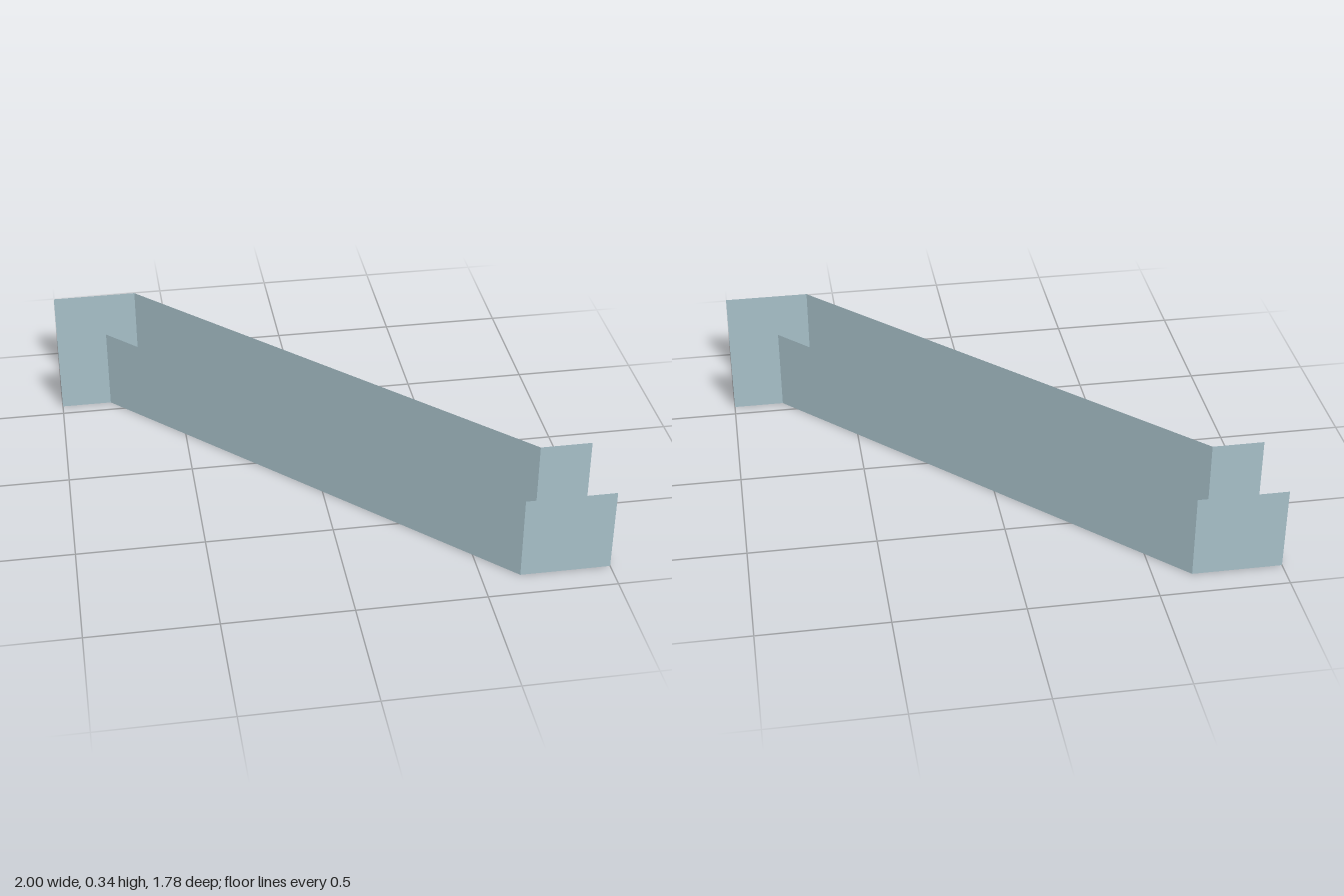
import * as THREE from 'three';

const HEIGHT = 0.34;

// Plan outline (x, z) of each side of the open channel
const frontPath = [[-1, -0.555], [-0.795, -0.555], [0.65, 0.89], [1, 0.89]];
const backPath = frontPath.map(([x, z]) => [-x, -z]).reverse();

// Upright sheet standing along a plan path, one flat panel per segment
function wallGeometry(path) {
  const pos = [];
  for (let i = 0; i < path.length - 1; i++) {
    const [ax, az] = path[i];
    const [bx, bz] = path[i + 1];
    pos.push(ax, 0, az, bx, 0, bz, bx, HEIGHT, bz);
    pos.push(ax, 0, az, bx, HEIGHT, bz, ax, HEIGHT, az);
  }
  const geometry = new THREE.BufferGeometry();
  geometry.setAttribute('position', new THREE.Float32BufferAttribute(pos, 3));
  geometry.computeVertexNormals();
  return geometry;
}

export function createModel() {
  const group = new THREE.Group();
  group.name = 'offsetChannel';

  const metal = new THREE.MeshStandardMaterial({ color: 0xa8c1ca, side: THREE.DoubleSide });
  metal.name = 'pale blue metal';

  const add = (name, geometry) => {
    const mesh = new THREE.Mesh(geometry, metal);
    mesh.name = name;
    group.add(mesh);
  };

  // Floor sheet between the two walls, facing up
  const outline = [...frontPath, ...[...backPath].reverse()];
  const shape = new THREE.Shape(outline.map(([x, z]) => new THREE.Vector2(x, -z)));
  add('floor', new THREE.ShapeGeometry(shape).rotateX(-Math.PI / 2));

  // Side walls; the top and both ends stay open
  add('frontWall', wallGeometry(frontPath));
  add('backWall', wallGeometry([...backPath].reverse()));

  return group;
}
